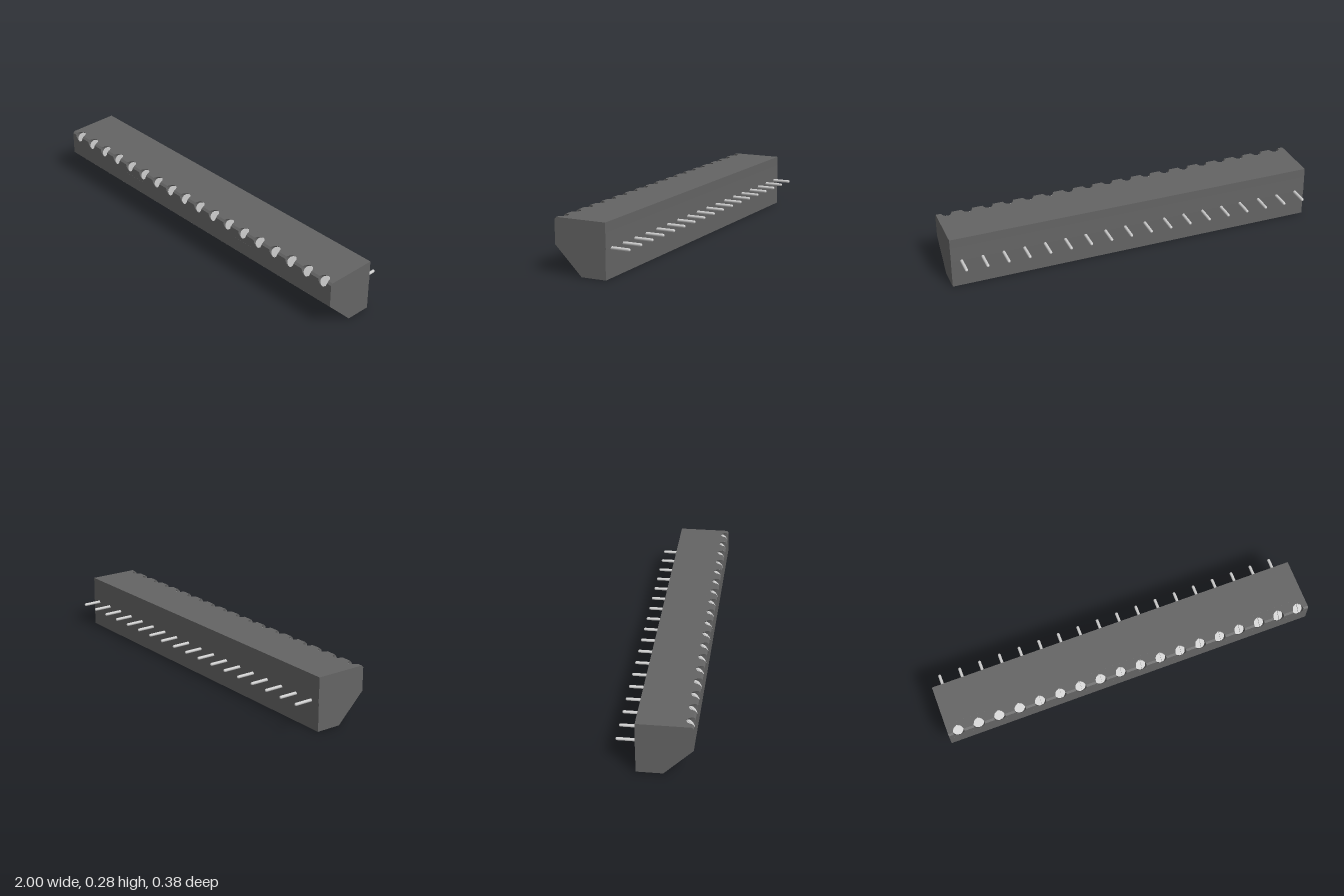
import * as THREE from 'three';
import { mergeGeometries } from 'three/addons/utils/BufferGeometryUtils.js';

const COUNT = 18, PITCH = 2 / COUNT;
const POCKET = 0.031;            // half width of a wire pocket
const R = 0.029, C = 0.007;      // screw hole radius, half width of the edge chamfer
const REACH = 0.0424, DEPTH = 0.034;
const centres = Array.from({ length: COUNT }, (_, i) => -1 + PITCH * (i + 0.5));

const plastic = new THREE.MeshStandardMaterial({ color: 0x646464 });
const plasticInside = new THREE.MeshStandardMaterial({ color: 0x646464, side: THREE.BackSide });
const plasticThin = new THREE.MeshStandardMaterial({ color: 0x646464, side: THREE.DoubleSide });
const metal = new THREE.MeshStandardMaterial({ color: 0xcccccc });

// profile points are [z, y]
const profile = pts => new THREE.Shape(pts.map(([z, y]) => new THREE.Vector2(-z, y)));

function slab(pts, x0, x1) {
  const g = new THREE.ExtrudeGeometry(profile(pts), { depth: x1 - x0, bevelEnabled: false });
  return g.rotateY(Math.PI / 2).translate(x0, 0, 0);
}

// Height along the screw axis of the outer surface, at offset u across the edge
const surface = u => -Math.max(0, Math.abs(u) - C);

function onSurface(shape) {
  const g = new THREE.ShapeGeometry(shape);
  const p = g.attributes.position;
  for (let i = 0; i < p.count; i++) p.setZ(i, surface(p.getY(i)));
  g.computeVertexNormals();
  return g;
}

function arc(cx, from, to, steps = 16) {
  return Array.from({ length: steps + 1 }, (_, i) => {
    const a = from + (to - from) * i / steps;
    return new THREE.Vector2(cx + R * Math.cos(a), R * Math.sin(a));
  });
}

// Top and front strips with a row of round bites, and chamfer pieces between them
function bittenEdge() {
  const a = Math.asin(C / R), parts = [];
  for (const s of [1, -1]) {
    const pts = [new THREE.Vector2(-1, s * REACH), new THREE.Vector2(-1, s * C)];
    for (const x of centres) pts.push(...arc(x, s * (Math.PI - a), s * a));
    pts.push(new THREE.Vector2(1, s * C), new THREE.Vector2(1, s * REACH));
    parts.push(onSurface(new THREE.Shape(pts)));
  }
  for (const x of centres) {
    for (const s of [1, -1]) {
      const edge = x + s * PITCH / 2, mid = s > 0 ? 0 : Math.PI;
      parts.push(onSurface(new THREE.Shape([
        new THREE.Vector2(edge, -s * C), new THREE.Vector2(edge, s * C),
        ...arc(x, mid + a, mid - a, 6)])));
    }
  }
  return mergeGeometries(parts);
}

function holeWall() {
  const g = new THREE.CylinderGeometry(R, R, 1, 32, 1, true).rotateX(Math.PI / 2);
  const p = g.attributes.position;
  for (let i = 0; i < p.count; i++) p.setZ(i, p.getZ(i) > 0 ? surface(p.getY(i)) : -DEPTH);
  return g;
}

// Slotted head made of two circle segments over a thin disc
function screwHead() {
  const r = 0.026, a = Math.asin(0.004 / r), parts = [];
  for (const turn of [0, Math.PI]) {
    const seg = new THREE.Shape().absarc(0, 0, r, turn - Math.PI / 2 + a, turn + Math.PI / 2 - a);
    parts.push(new THREE.ExtrudeGeometry(seg, { depth: 0.008, bevelEnabled: false, curveSegments: 12 })
      .translate(0, 0, -0.028));
  }
  parts.push(new THREE.CylinderGeometry(R, R, 0.005, 24).rotateX(Math.PI / 2).toNonIndexed()
    .translate(0, 0, -0.0305));
  return mergeGeometries(parts);
}

export function createModel() {
  const model = new THREE.Group();
  const add = (parent, name, geometry, material, x = 0, y = 0, z = 0) => {
    const m = new THREE.Mesh(geometry, material);
    m.name = name;
    m.position.set(x, y, z);
    parent.add(m);
    return m;
  };

  // Housing: full walls between the pockets, notched slabs behind them
  const back = [[0.19, 0.145], [0.19, 0.218], [0.13, 0.278], [-0.088, 0.278],
    [-0.088, 0.23], [-0.09, 0.147], [-0.088, 0.147], [-0.088, 0], [0.045, 0]];
  const notched = [...back, [0.06, 0.015], [0.03, 0.015], [0.03, 0.14], [0.185, 0.14]];
  const slabs = [];
  let x0 = -1;
  for (const x of centres) {
    slabs.push(slab(back, x0, x - POCKET), slab(notched, x - POCKET, x + POCKET));
    x0 = x + POCKET;
  }
  slabs.push(slab(back, x0, 1));
  add(model, 'housing', mergeGeometries(slabs), plastic);

  // Ends of the upper front edge
  const corner = new THREE.ShapeGeometry(profile(
    [[0.13, 0.278], [0.18, 0.278], [0.19, 0.268], [0.19, 0.218]])).rotateY(Math.PI / 2);
  add(model, 'leftEdgeEnd', corner, plasticThin, 1);
  add(model, 'rightEdgeEnd', corner, plasticThin, -1);

  // Upper front edge with the slanted screw holes
  const edge = new THREE.Group();
  edge.name = 'screwEdge';
  edge.position.set(0, 0.273, 0.185);
  edge.rotation.x = -Math.PI / 4;
  model.add(edge);
  add(edge, 'edgeSurface', bittenEdge(), plastic);

  const wall = holeWall(), head = screwHead();
  const clamp = new THREE.BoxGeometry(0.052, 0.035, 0.02);
  const pin = new THREE.CapsuleGeometry(0.008, 0.1, 6, 16).rotateX(Math.PI / 2);
  for (const x of centres) {
    add(edge, 'screwHole', wall, plasticInside, x);
    add(edge, 'screw', head, metal, x);
    add(model, 'wireClamp', clamp, metal, x, 0.0325, 0.04);
    add(model, 'pin', pin, metal, x, 0.146, -0.132);
  }
  return model;
}
